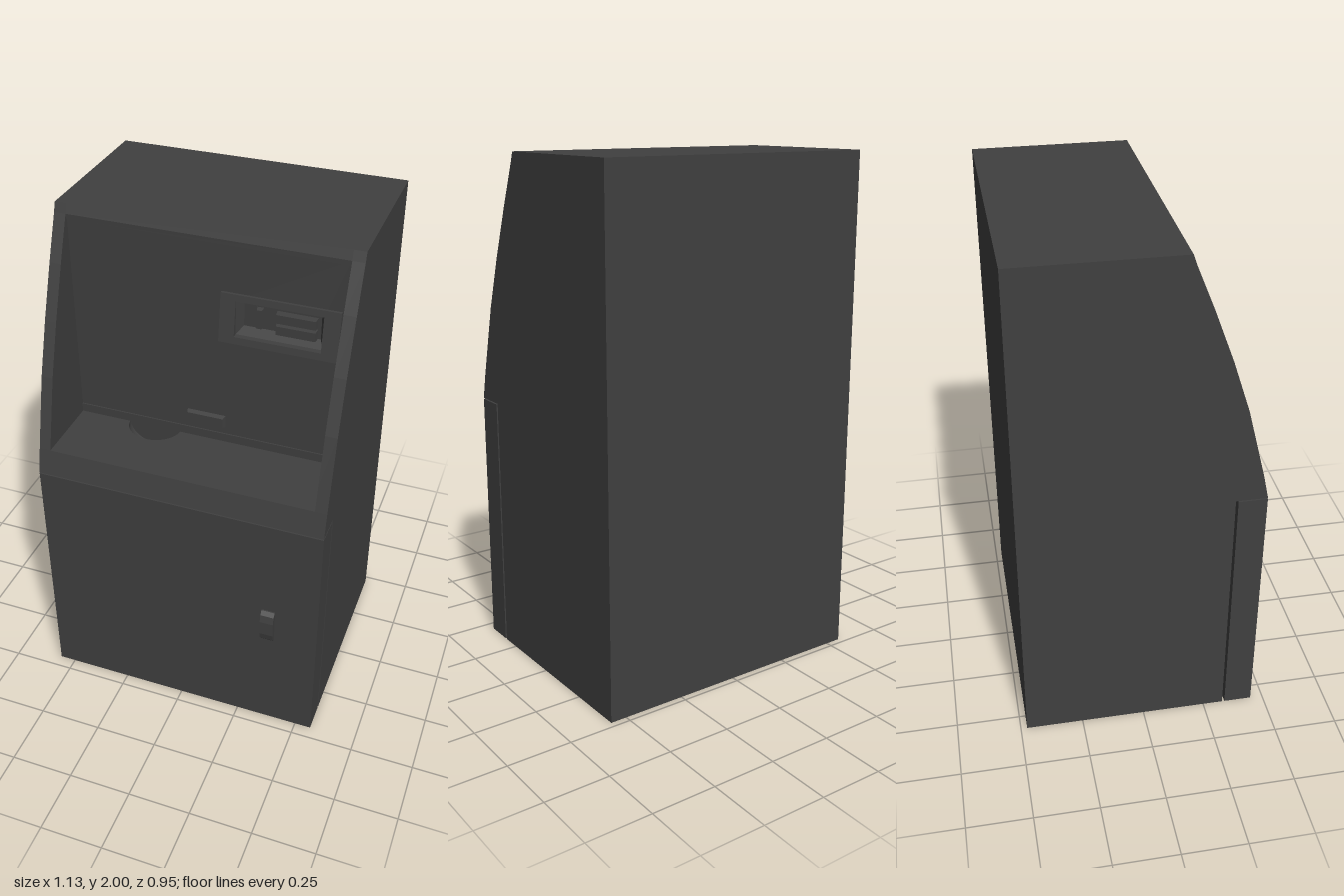
import * as THREE from 'three';

const material = new THREE.MeshStandardMaterial({ color: 0x404040 });
const hollow = new THREE.MeshStandardMaterial({ color: 0x404040, side: THREE.BackSide });

const HALF = 0.565, INNER = 0.52, WALL = 0.14, FLOOR = 1.12;

// Curved front edge of the upper cabinet, as [z, y]
const front = [[0.45, 1.02], [0.428, 1.12], [0.405, 1.21], [0.356, 1.4],
  [0.29, 1.6], [0.215, 1.8], [0.148, 1.965], [0.136, 2]];

export function createModel() {
  const group = new THREE.Group();

  function add(name, geometry, mat = material) {
    const mesh = new THREE.Mesh(geometry, mat);
    mesh.name = name;
    group.add(mesh);
    return mesh;
  }

  const shapeOf = (points) => new THREE.Shape(points.map(([x, y]) => new THREE.Vector2(x, y)));

  // Extrudes a [z, y] profile from x0 to x1
  function slab(points, x0, x1) {
    return new THREE.ExtrudeGeometry(shapeOf(points), { depth: x1 - x0, bevelEnabled: false })
      .rotateY(-Math.PI / 2).translate(x1, 0, 0);
  }

  const rect = (x0, x1, y0, y1) => [[x0, y0], [x1, y0], [x1, y1], [x0, y1]];

  // Flat plate facing +z with a rectangular hole
  function plate(outer, hole, z0, z1) {
    const shape = shapeOf(rect(...outer));
    shape.holes.push(shapeOf(rect(...hole).reverse()));
    return new THREE.ExtrudeGeometry(shape, { depth: z1 - z0, bevelEnabled: false })
      .translate(0, 0, z0);
  }

  // Box whose front (sign 1) or back (sign -1) face is inset by an amount
  function block(x0, x1, y0, y1, z0, z1, inset = 0, sign = 1) {
    const w = x1 - x0, h = y1 - y0;
    const geometry = new THREE.BoxGeometry(w, h, z1 - z0);
    const p = geometry.attributes.position;
    for (let i = 0; i < p.count; i++) {
      if (p.getZ(i) * sign > 0) {
        p.setX(i, p.getX(i) * (1 - 2 * inset / w));
        p.setY(i, p.getY(i) * (1 - 2 * inset / h));
      }
    }
    geometry.translate((x0 + x1) / 2, (y0 + y1) / 2, (z0 + z1) / 2);
    geometry.computeVertexNormals();
    return geometry;
  }

  // Cabinet: two full side walls and a middle section with the niche cut away
  const side = [[-0.475, 0], [0.33, 0], [0.33, 1.02], ...front, [-0.475, 2]];
  add('leftSideWall', slab(side, INNER, HALF));
  add('rightSideWall', slab(side, -HALF, -INNER));
  add('cabinetBody', slab([[-0.475, 0], [0.33, 0], [0.33, 1.02], front[0], front[1],
    [0.42, FLOOR], [0.42, 1.03], [0.07, 1.03], [0.07, 1.965], front[6], front[7],
    [-0.475, 2]], -INNER, INNER));

  // Niche back panel with trim strips
  add('nichePanel', plate([-INNER, INNER, 1.03, 1.965], [0.12, 0.44, 1.607, 1.74], WALL - 0.01, WALL));
  add('lowerTrim', block(-INNER, INNER, FLOOR, 1.155, WALL, WALL + 0.005));
  add('upperTrim', block(-INNER, INNER, 1.945, 1.965, WALL, WALL + 0.005));

  // Niche floor with a half-round scoop against the panel
  const cx = -0.21, rx = 0.105, rz = 0.095;
  const floor = new THREE.Shape();
  floor.moveTo(-INNER, -0.42);
  floor.lineTo(INNER, -0.42);
  floor.lineTo(INNER, -WALL);
  floor.lineTo(cx + rx, -WALL);
  floor.absellipse(cx, -WALL, rx, rz, 0, -Math.PI, true, 0);
  floor.lineTo(-INNER, -WALL);
  add('nicheFloor', new THREE.ShapeGeometry(floor, 12).rotateX(-Math.PI / 2).translate(0, FLOOR, 0));
  add('scoop', new THREE.SphereGeometry(1, 12, 12, 0, Math.PI, Math.PI / 2, Math.PI / 2)
    .scale(rx, 0.085, rz).translate(cx, FLOOR, WALL), hollow);

  // Control plate: wedge frame, thicker toward the bottom, around a tapered recess
  const frame = plate([0.063, 0.5, 1.58, 1.765], [0.12, 0.44, 1.607, 1.74], WALL, 0.175);
  const fp = frame.attributes.position;
  for (let i = 0; i < fp.count; i++) {
    if (fp.getZ(i) > 0.16) fp.setZ(i, 0.175 - 0.025 * (fp.getY(i) - 1.58) / 0.185);
  }
  frame.computeVertexNormals();
  add('controlFrame', frame);
  add('controlRecess', block(0.12, 0.44, 1.607, 1.74, 0.11, 0.15, 0.018, -1), hollow);
  add('slotBar', block(0.187, 0.212, 1.63, 1.71, 0.11, 0.13, 0.003));
  for (const y of [1.622, 1.668]) add('readerBar', block(0.26, 0.41, y, y + 0.04, 0.11, 0.135, 0.003));

  // Small outlet near the bottom of the panel
  add('outletPlate', block(-0.073, 0.08, 1.185, 1.235, WALL, 0.157, 0.006));

  // Service door and its handle
  add('door', new THREE.BoxGeometry(HALF * 2, 1.015, 0.11).translate(0, 0.5075, 0.395));
  add('doorHandle', slab([[0.44, 0.45], [0.455, 0.45], [0.468, 0.465], [0.475, 0.495],
    [0.475, 0.555], [0.468, 0.585], [0.455, 0.6], [0.44, 0.6]], 0.343, 0.396));

  return group;
}
